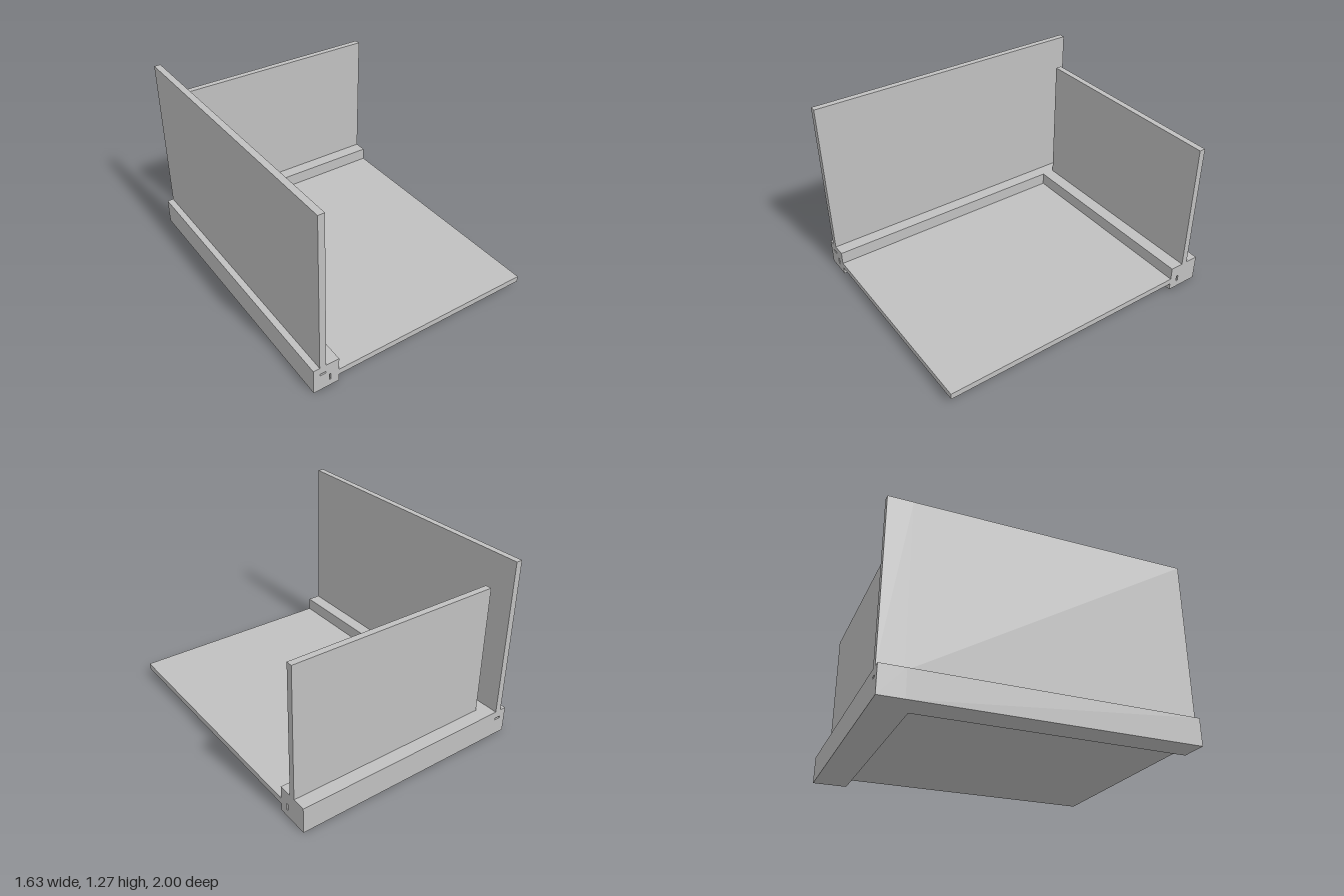
import * as THREE from 'three';

const X = 0.817, INNER = -0.638, BEAM_H = 0.181, BACK_Z = -0.772;

function rectPath(PathType, x0, x1, y0, y1) {
  return new PathType([[x0, y0], [x1, y0], [x1, y1], [x0, y1]].map(p => new THREE.Vector2(...p)));
}

// Beam with an upright wall rising from it, as one inverted-T section with slots
function wallSection(x0, x1, w0, w1, top, slots) {
  const shape = new THREE.Shape([
    [x0, 0], [x1, 0], [x1, BEAM_H], [w1, BEAM_H], [w1, top], [w0, top], [w0, BEAM_H], [x0, BEAM_H],
  ].map(p => new THREE.Vector2(...p)));
  shape.holes = slots.map(s => rectPath(THREE.Path, ...s));
  return shape;
}

const extrude = (shape, depth) => new THREE.ExtrudeGeometry(shape, { depth, bevelEnabled: false });

export function createModel() {
  const model = new THREE.Group();
  model.name = 'corner';
  const grey = new THREE.MeshStandardMaterial({ color: 0xc0c0c0 });
  grey.name = 'light grey';
  const add = (name, geometry) => {
    const mesh = new THREE.Mesh(geometry, grey);
    mesh.name = name;
    model.add(mesh);
    return mesh;
  };

  // Side wall: flat slot runs right through, upright slot stops near the back
  const flatSlot = [-0.773, -0.729, 0.118, 0.131];
  const uprightSlot = [-0.708, -0.695, 0.046, 0.094];
  const slotEnd = -0.84;
  const side = slots => wallSection(-X, INNER, -0.773, -0.729, 1.275, slots);
  add('sideWallFront', extrude(side([flatSlot, uprightSlot]), 1 - slotEnd)).position.z = slotEnd;
  add('sideWallBack', extrude(side([flatSlot]), 1 + slotEnd)).position.z = -1;

  // Back wall: section drawn in -z, then turned to run along x
  const back = wallSection(-BACK_Z, 1, 0.865, 0.908, 1.091, [[0.828, 0.842, 0.046, 0.094]]);
  add('backWall', extrude(back, X - INNER).rotateY(Math.PI / 2)).position.x = INNER;

  // Floor panel set between the beams
  const floor = add('floor', new THREE.BoxGeometry(X - INNER, 0.042, 1 - BACK_Z));
  floor.position.set((X + INNER) / 2, 0.071, (1 + BACK_Z) / 2);

  return model;
}
